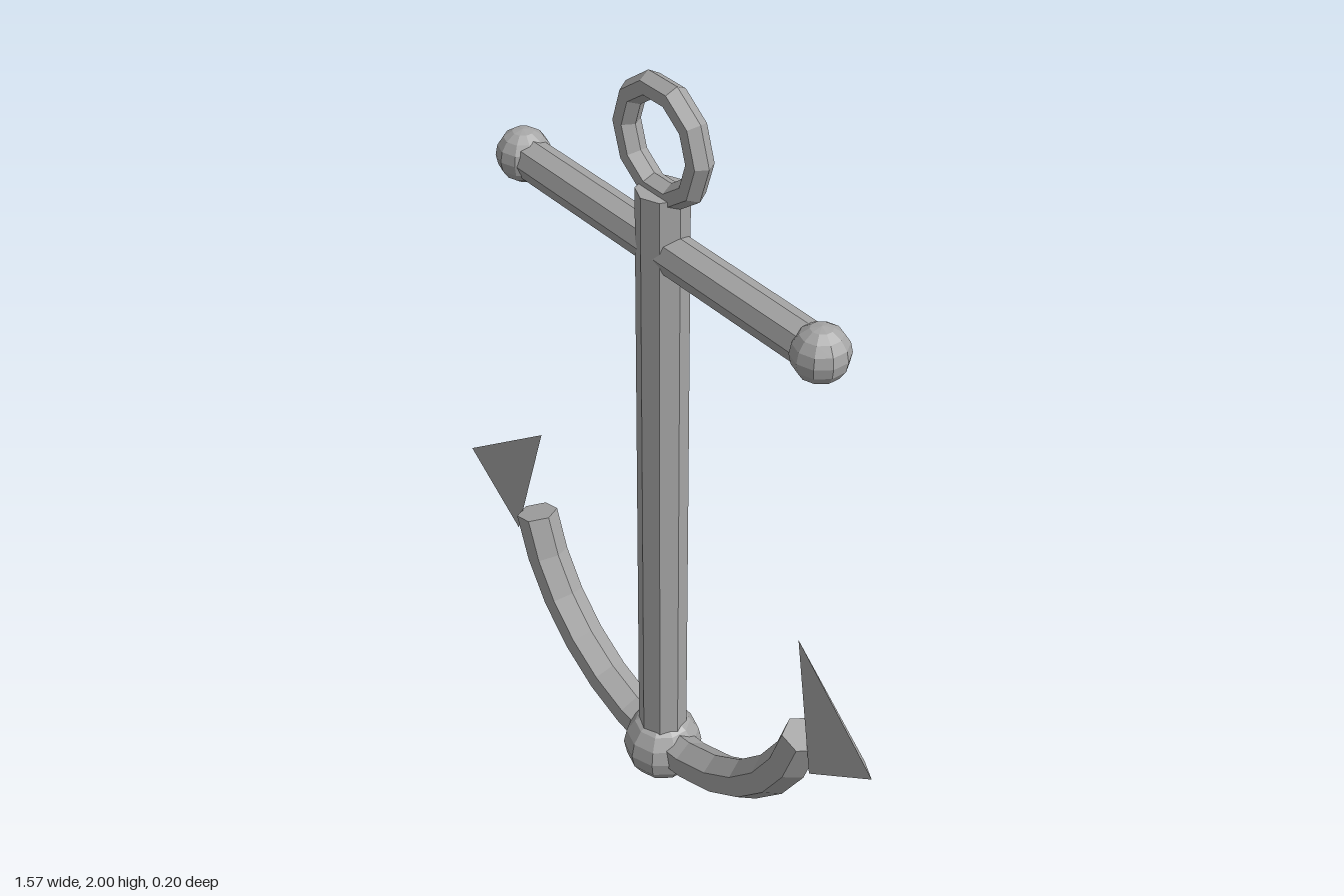
import * as THREE from 'three';

const iron = new THREE.MeshStandardMaterial({ color: 0xa6a6a6, flatShading: true });
iron.name = 'iron grey';

export function createModel() {
  const model = new THREE.Group();
  model.name = 'anchor';

  const add = (name, geometry, x = 0, y = 0, z = 0, parent = model) => {
    const mesh = new THREE.Mesh(geometry, iron);
    mesh.name = name;
    mesh.position.set(x, y, z);
    parent.add(mesh);
    return mesh;
  };
  const ball = (r) => new THREE.SphereGeometry(r, 10, 8).rotateY(Math.PI / 2);

  // Upright shank with a ball at its foot
  add('shank', new THREE.CylinderGeometry(0.061, 0.061, 1.635, 8), 0, 0.9175);
  add('crownBall', ball(0.1), 0, 0.1);

  // Rope ring at the top
  add('ring', new THREE.TorusGeometry(0.125, 0.031, 6, 10), 0, 1.852);

  // Crossbar
  add('stock', new THREE.CylinderGeometry(0.05, 0.05, 1.04, 8).rotateZ(Math.PI / 2), 0, 1.59);

  // Curved arms, one arc through the crown with closed ends
  const R = 0.545, tube = 0.053, start = Math.PI * (194 / 180), arc = Math.PI * (152 / 180);
  const arms = new THREE.Group();
  arms.name = 'arms';
  arms.position.y = 0.652;
  model.add(arms);
  add('armArc', new THREE.TorusGeometry(R, tube, 6, 12, arc).rotateZ(start), 0, 0, 0, arms);
  for (const [angle, turn] of [[start, 1], [start + arc, -1]]) {
    const cap = new THREE.CircleGeometry(tube, 6)
      .rotateX(turn * Math.PI / 2).translate(R, 0, 0).rotateZ(angle);
    add('armEnd', cap, 0, 0, 0, arms);
  }

  for (const side of [1, -1]) {
    const label = side > 0 ? 'left' : 'right';
    add(label + 'StockBall', ball(0.066), side * 0.52, 1.59);

    // Fluke: flattened three-sided spike with its flat face to the front
    const fluke = new THREE.ConeGeometry(0.143, 0.328, 3)
      .rotateY(Math.PI).translate(0, 0.164, 0).scale(1, 1, 0.36)
      .rotateZ(side * 0.606);
    add(label + 'Fluke', fluke, side * 0.682, 0.52);
  }
  return model;
}
